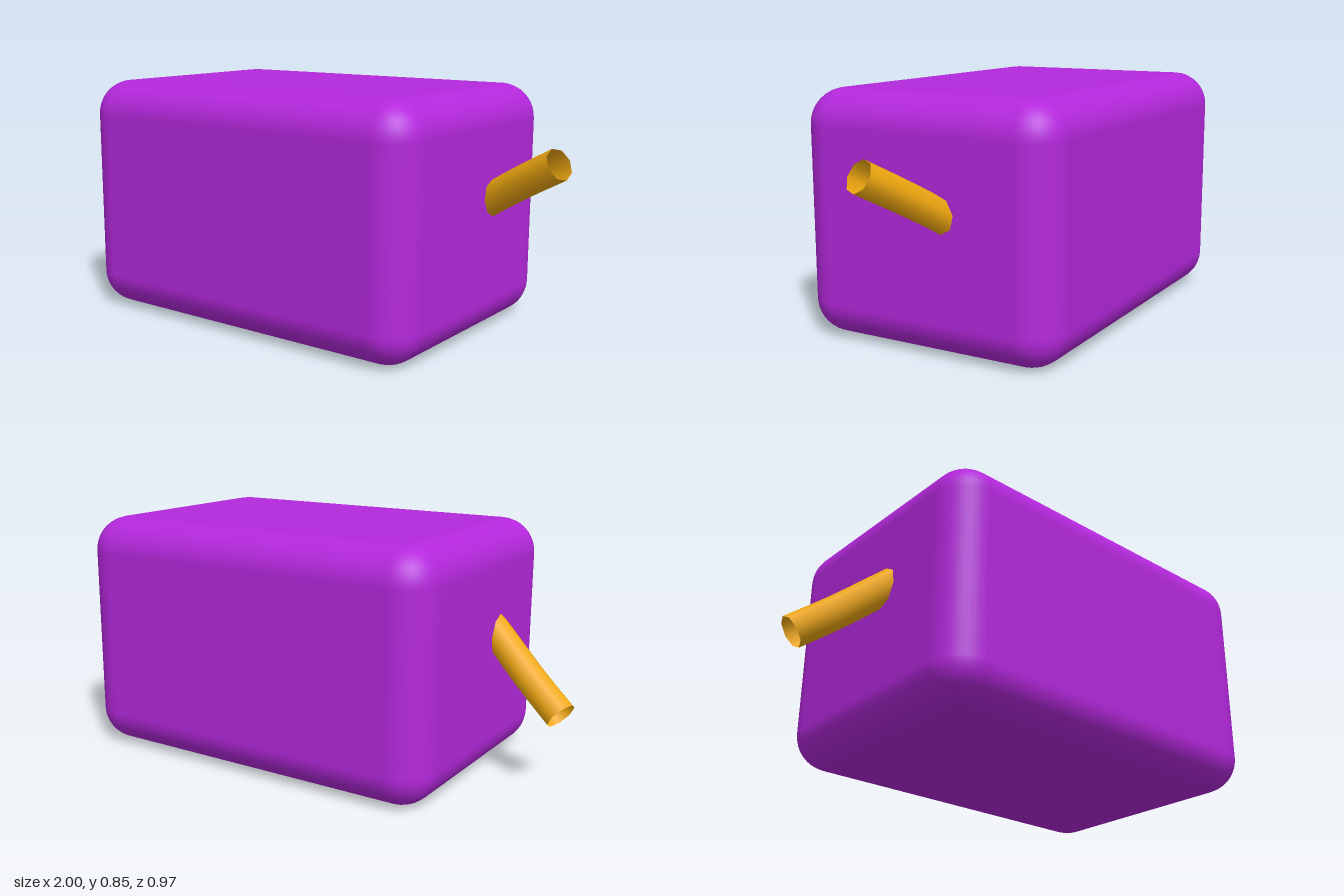
import * as THREE from 'three';
import { RoundedBoxGeometry } from 'three/addons/geometries/RoundedBoxGeometry.js';

export function createModel() {
  const model = new THREE.Group();

  // Rounded block standing on the ground
  const body = new THREE.Mesh(
    new RoundedBoxGeometry(1.4, 0.852, 0.966, 5, 0.125),
    new THREE.MeshStandardMaterial({ color: 0xb428dc })
  );
  body.name = 'body';
  body.position.y = 0.426;
  model.add(body);

  // Open-ended tubes that leave the two end faces, each bending slightly
  const tubeMaterial = new THREE.MeshStandardMaterial({ color: 0xf0a810, side: THREE.DoubleSide });
  const paths = {
    leftTube: [[0.6, 0.42, -0.115], [0.7, 0.485, -0.088], [0.84, 0.567, -0.042], [0.971, 0.638, -0.002]],
    rightTube: [[-0.6, 0.57, 0.12], [-0.7, 0.485, 0.092], [-0.84, 0.366, 0.042], [-0.969, 0.266, 0]],
  };
  for (const [name, points] of Object.entries(paths)) {
    const curve = new THREE.CatmullRomCurve3(points.map((p) => new THREE.Vector3(...p)));
    const tube = new THREE.Mesh(new THREE.TubeGeometry(curve, 8, 0.055, 8), tubeMaterial);
    tube.name = name;
    model.add(tube);
  }
  return model;
}
